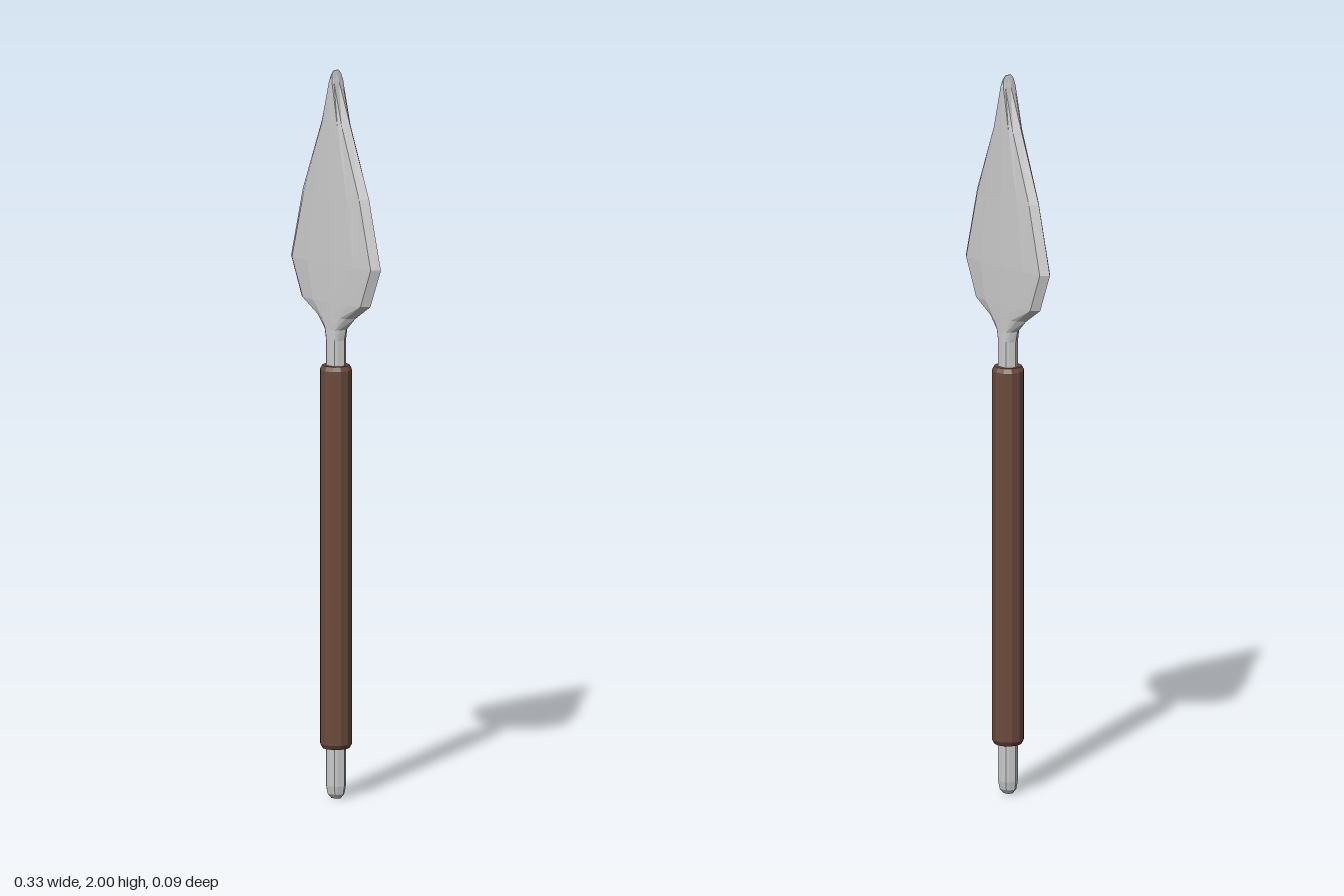
import * as THREE from 'three';

// Closed loft through rings of equal point count, stacked upward
function loft(rings) {
  const n = rings[0].length, pos = rings.flat(2), idx = [];
  for (let i = 0; i < rings.length - 1; i++) {
    for (let j = 0; j < n; j++) {
      const a = i * n + j, b = i * n + (j + 1) % n;
      idx.push(a, a + n, b, b, a + n, b + n);
    }
  }
  const top = (rings.length - 1) * n;
  for (let j = 1; j < n - 1; j++) {
    idx.push(0, j, j + 1, top, top + j + 1, top + j);
  }
  const geo = new THREE.BufferGeometry();
  geo.setAttribute('position', new THREE.Float32BufferAttribute(pos, 3));
  geo.setIndex(idx);
  const flat = geo.toNonIndexed();
  flat.computeVertexNormals();
  return flat;
}

// Lens-like section: sharp side edges, narrow bevels, gently domed faces
function bladeSection(y, w, d) {
  const b = Math.min(0.02, w * 0.3);
  const quarter = [[w, 0], [w - b, 0.7 * d], [w * 0.5, 0.94 * d], [0, d]];
  const half = [...quarter, ...quarter.slice(0, 3).reverse().map(([x, z]) => [-x, z])];
  const full = [...half, ...half.slice(1, -1).reverse().map(([x, z]) => [x, -z])];
  return full.map(([x, z]) => [x, y, z]);
}

export function createModel() {
  const model = new THREE.Group();
  model.name = 'spear';
  const steel = new THREE.MeshStandardMaterial({ color: 0xcccccc, flatShading: true });
  const leather = new THREE.MeshStandardMaterial({ color: 0x6b4a3c, flatShading: true });

  const add = (name, geometry, material) => {
    const mesh = new THREE.Mesh(geometry, material);
    mesh.name = name;
    model.add(mesh);
  };

  // Tang: rounded butt end running up through the grip: [y, half width, half depth]
  const tang = [
    [0, 0.016, 0.011], [0.012, 0.026, 0.02], [0.035, 0.03, 0.024], [1.22, 0.03, 0.024],
  ];
  add('tang', loft(tang.map((s) => bladeSection(...s))), steel);

  // Blade: neck, flared shoulders, then a long taper to the point
  const blade = [
    [1.22, 0.03, 0.024], [1.26, 0.03, 0.024], [1.29, 0.037, 0.024], [1.325, 0.07, 0.025],
    [1.365, 0.125, 0.026], [1.47, 0.163, 0.027], [1.66, 0.12, 0.026], [1.85, 0.053, 0.025],
    [1.97, 0.011, 0.024], [1.99, 0.004, 0.019], [2, 0.001, 0.01],
  ];
  add('blade', loft(blade.map((s) => bladeSection(...s))), steel);

  // Grip: faceted sleeve with chamfered ends
  const profile = [
    [0.001, 0.138], [0.037, 0.138], [0.044, 0.15], [0.044, 1.178], [0.037, 1.19], [0.001, 1.19],
  ].map(([r, y]) => new THREE.Vector2(r, y));
  add('grip', new THREE.LatheGeometry(profile, 12), leather);

  return model;
}
